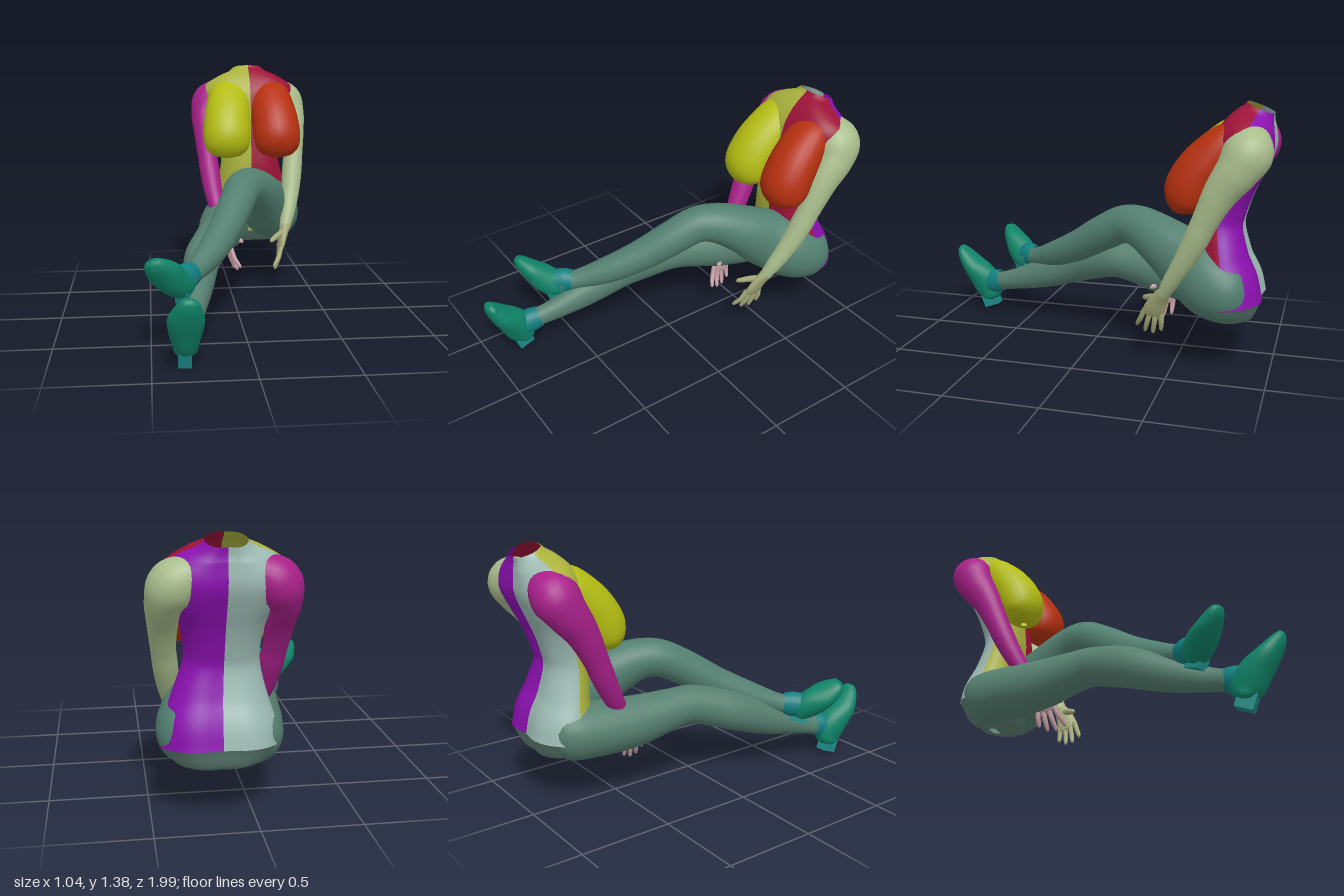
import * as THREE from 'three';

const MID = 0.148; // x of the body's own mirror plane
const mirror = rows => rows.map(([x, ...rest]) => [2 * MID - x, ...rest]);
const mat = color => new THREE.MeshStandardMaterial({ color, side: THREE.DoubleSide });

// Smooth skin over elliptical sections [x, y, z, halfWidth, halfDepth].
// ref sets the depth direction; from/to limit the sweep around the section.
function loft(rows, ref, { seg = 24, steps = 5, from = 0, to = Math.PI * 2, shape = () => 1 } = {}) {
  const path = new THREE.CatmullRomCurve3(rows.map(r => new THREE.Vector3(r[0], r[1], r[2])));
  const size = new THREE.CatmullRomCurve3(rows.map(r => new THREE.Vector3(r[3], r[4] ?? r[3], 0)), false, 'catmullrom', 0.5);
  const up = new THREE.Vector3(...ref);
  const closed = to - from > 6.28;
  const cols = closed ? seg : seg + 1;
  const n = (rows.length - 1) * steps;
  const pos = [], index = [];
  for (let i = 0; i <= n; i++) {
    const c = path.getPoint(i / n), t = path.getTangent(i / n), s = size.getPoint(i / n);
    const side = t.clone().cross(up).normalize();
    const depth = side.clone().cross(t).normalize();
    for (let j = 0; j < cols; j++) {
      const a = from + (to - from) * j / seg;
      const p = c.clone()
        .addScaledVector(side, Math.cos(a) * Math.max(s.x, 0.001))
        .addScaledVector(depth, Math.sin(a) * Math.max(s.y, 0.001) * shape(a));
      pos.push(p.x, p.y, p.z);
    }
  }
  for (let i = 0; i < n; i++) {
    for (let j = 0; j < seg; j++) {
      const k = (j + 1) % cols;
      const a = i * cols + j, b = i * cols + k, c = a + cols, d = b + cols;
      index.push(a, c, b, b, c, d);
    }
  }
  const g = new THREE.BufferGeometry();
  g.setAttribute('position', new THREE.Float32BufferAttribute(pos, 3));
  g.setIndex(index);
  g.computeVertexNormals();
  return g;
}

export function createModel() {
  const model = new THREE.Group();
  const add = (name, geometry, color, parent = model) => {
    const m = new THREE.Mesh(geometry, mat(color));
    m.name = name;
    parent.add(m);
    return m;
  };
  const FRONT = [0, 0, 1], UP = [0, 1, 0];

  // Torso: a seat, then four coloured quarters up to the open neck.
  // The section is slightly squared, with a spine groove.
  const body = a => 1 + 0.12 * Math.sin(2 * a) ** 2
    - (Math.sin(a) < 0 ? 0.1 * Math.exp(-((Math.cos(a) / 0.25) ** 2)) : 0);
  const torso = [
    [0.165, 0.37, -0.775, 0.29, 0.18], [0.165, 0.47, -0.765, 0.28, 0.165],
    [0.16, 0.585, -0.745, 0.24, 0.13], [0.15, 0.75, -0.72, 0.19, 0.115],
    [MID, 0.86, -0.735, 0.187, 0.12], [MID, 0.99, -0.765, 0.215, 0.135],
    [MID, 1.1, -0.8, 0.265, 0.15], [MID, 1.19, -0.83, 0.3, 0.155],
    [MID, 1.255, -0.852, 0.28, 0.135], [MID, 1.305, -0.872, 0.2, 0.108],
    [MID, 1.335, -0.885, 0.13, 0.086], [MID, 1.36, -0.895, 0.1, 0.075],
  ];
  add('seat', loft([
    [0.165, 0.255, -0.785, 0.05, 0.03], [0.165, 0.28, -0.785, 0.2, 0.12], torso[0],
  ], FRONT, { shape: body }), 0x5f7f74);
  [['torsoFrontLeft', 0x9c1238], ['torsoFrontRight', 0xa9b13c],
    ['torsoBackRight', 0x9cb9b2], ['torsoBackLeft', 0x8a10ae]].forEach(([name, color], q) => {
    const from = q * Math.PI / 2;
    add(name, loft(torso, FRONT, { seg: 14, from, to: from + Math.PI / 2, shape: body }), color);
  });

  // Bust
  const bust = [
    [0.305, 0.828, -0.55, 0.02, 0.02], [0.305, 0.843, -0.55, 0.085, 0.065],
    [0.305, 0.885, -0.555, 0.13, 0.105], [0.305, 0.95, -0.57, 0.145, 0.13],
    [0.3, 1.03, -0.61, 0.145, 0.13], [0.29, 1.11, -0.675, 0.14, 0.125],
    [0.275, 1.2, -0.755, 0.125, 0.1], [0.26, 1.26, -0.82, 0.08, 0.05],
  ];
  add('bustLeft', loft(bust, FRONT), 0xb5300e);
  add('bustRight', loft(mirror(bust), FRONT), 0xb4bc12);

  // Arms and hands
  const arm = [
    [0.22, 1.23, -0.87, 0.06], [0.31, 1.2, -0.87, 0.1], [0.385, 1.155, -0.86, 0.12, 0.125],
    [0.42, 1.08, -0.82, 0.095, 0.108], [0.427, 0.97, -0.745, 0.075, 0.087],
    [0.42, 0.82, -0.67, 0.062, 0.068], [0.408, 0.72, -0.625, 0.062, 0.064],
    [0.39, 0.6, -0.565, 0.055], [0.36, 0.47, -0.49, 0.043], [0.34, 0.4, -0.45, 0.033],
  ];
  const palm = [
    [0.346, 0.42, -0.462, 0.033, 0.034], [0.325, 0.36, -0.425, 0.027, 0.048],
    [0.308, 0.3, -0.395, 0.021, 0.056], [0.297, 0.265, -0.378, 0.012, 0.045],
    [0.295, 0.26, -0.375, 0.002, 0.01],
  ];
  const fingers = [0, 1, 2, 3].map(k => {
    const x = 0.25 + 0.012 * k, y = [0.185, 0.16, 0.158, 0.18][k], z = -0.295 - 0.046 * k;
    return [[0.302, 0.3, -0.345 - 0.031 * k, 0.014],
      [(x + 0.302) / 2 + 0.008, (y + 0.3) / 2, (z - 0.345 - 0.031 * k) / 2, 0.014],
      [x + 0.003, y + 0.012, z, 0.01], [x, y, z, 0.001]];
  });
  const thumb = [[0.315, 0.375, -0.41, 0.02], [0.275, 0.36, -0.37, 0.018],
    [0.24, 0.345, -0.33, 0.013], [0.23, 0.34, -0.32, 0.001]];
  for (const [side, flip, skin, handSkin] of [
    ['Left', r => r, 0xa9bd8c, 0xa3a878], ['Right', mirror, 0xa8208a, 0xc09aa0]]) {
    const g = new THREE.Group();
    g.name = 'arm' + side;
    model.add(g);
    add('limb', loft(flip(arm), FRONT), skin, g);
    add('palm', loft(flip(palm), FRONT), handSkin, g);
    fingers.forEach((f, i) => add('finger' + (i + 1), loft(flip(f), FRONT, { seg: 10 }), handSkin, g));
    add('thumb', loft(flip(thumb), FRONT, { seg: 10 }), handSkin, g);
  }

  // Legs: the left one is crossed over the right
  add('legLeft', loft([
    [0.3, 0.4, -0.9, 0.05], [0.305, 0.415, -0.82, 0.15], [0.29, 0.46, -0.7, 0.17, 0.18],
    [0.215, 0.54, -0.56, 0.145, 0.18], [0.16, 0.625, -0.42, 0.135, 0.145],
    [0.09, 0.69, -0.27, 0.115], [0.04, 0.69, -0.17, 0.105],
    [-0.01, 0.625, -0.04, 0.1], [-0.09, 0.52, 0.13, 0.09], [-0.18, 0.435, 0.3, 0.077],
    [-0.27, 0.378, 0.45, 0.056], [-0.32, 0.36, 0.54, 0.052],
  ], UP), 0x527f70);
  add('legRight', loft([
    [0.03, 0.38, -0.9, 0.05], [0.01, 0.4, -0.8, 0.14], [-0.02, 0.4, -0.62, 0.155, 0.15],
    [-0.06, 0.405, -0.42, 0.14], [-0.1, 0.435, -0.2, 0.115], [-0.12, 0.445, -0.08, 0.108],
    [-0.165, 0.415, 0.05, 0.105, 0.11], [-0.215, 0.37, 0.18, 0.1, 0.108],
    [-0.25, 0.285, 0.4, 0.08, 0.09], [-0.285, 0.215, 0.62, 0.056, 0.062], [-0.32, 0.18, 0.76, 0.052],
  ], UP), 0x567f70);

  // Shoes: foot, ankle cuff and block heel
  const shoe = (side, foot, cuff, heelAt, turn) => {
    const g = new THREE.Group();
    g.name = 'shoe' + side;
    model.add(g);
    add('foot', loft(foot, [0, 0.6, -0.8]), 0x0f8468, g);
    add('cuff', loft(cuff, UP), 0x127f80, g);
    const heel = add('heel', new THREE.BoxGeometry(0.065, 0.085, 0.095), 0x1b8a86, g);
    heel.position.set(...heelAt);
    heel.rotation.set(0.35, turn, 0);
  };
  shoe('Right', [
    [-0.335, 0.055, 0.78, 0.005], [-0.335, 0.075, 0.785, 0.055, 0.05], [-0.335, 0.12, 0.8, 0.065, 0.085],
    [-0.337, 0.19, 0.84, 0.08, 0.088], [-0.336, 0.27, 0.91, 0.09, 0.064],
    [-0.325, 0.345, 0.965, 0.065, 0.042], [-0.312, 0.383, 0.983, 0.04, 0.024], [-0.308, 0.395, 0.988, 0.003],
  ], [[-0.298, 0.2, 0.7, 0.056, 0.062], [-0.312, 0.185, 0.75, 0.062, 0.072], [-0.335, 0.16, 0.83, 0.06, 0.06]],
  [-0.34, 0.06, 0.8], 0);
  shoe('Left', [
    [-0.32, 0.295, 0.525, 0.005], [-0.325, 0.31, 0.535, 0.05, 0.045], [-0.345, 0.34, 0.56, 0.065, 0.075],
    [-0.39, 0.385, 0.61, 0.078, 0.08], [-0.435, 0.435, 0.66, 0.085, 0.06],
    [-0.472, 0.478, 0.7, 0.062, 0.042], [-0.488, 0.503, 0.717, 0.04, 0.025], [-0.493, 0.512, 0.722, 0.003],
  ], [[-0.285, 0.375, 0.475, 0.056, 0.062], [-0.32, 0.37, 0.52, 0.062, 0.072], [-0.38, 0.37, 0.6, 0.055]],
  [-0.325, 0.3, 0.565], -0.5);

  return model;
}
